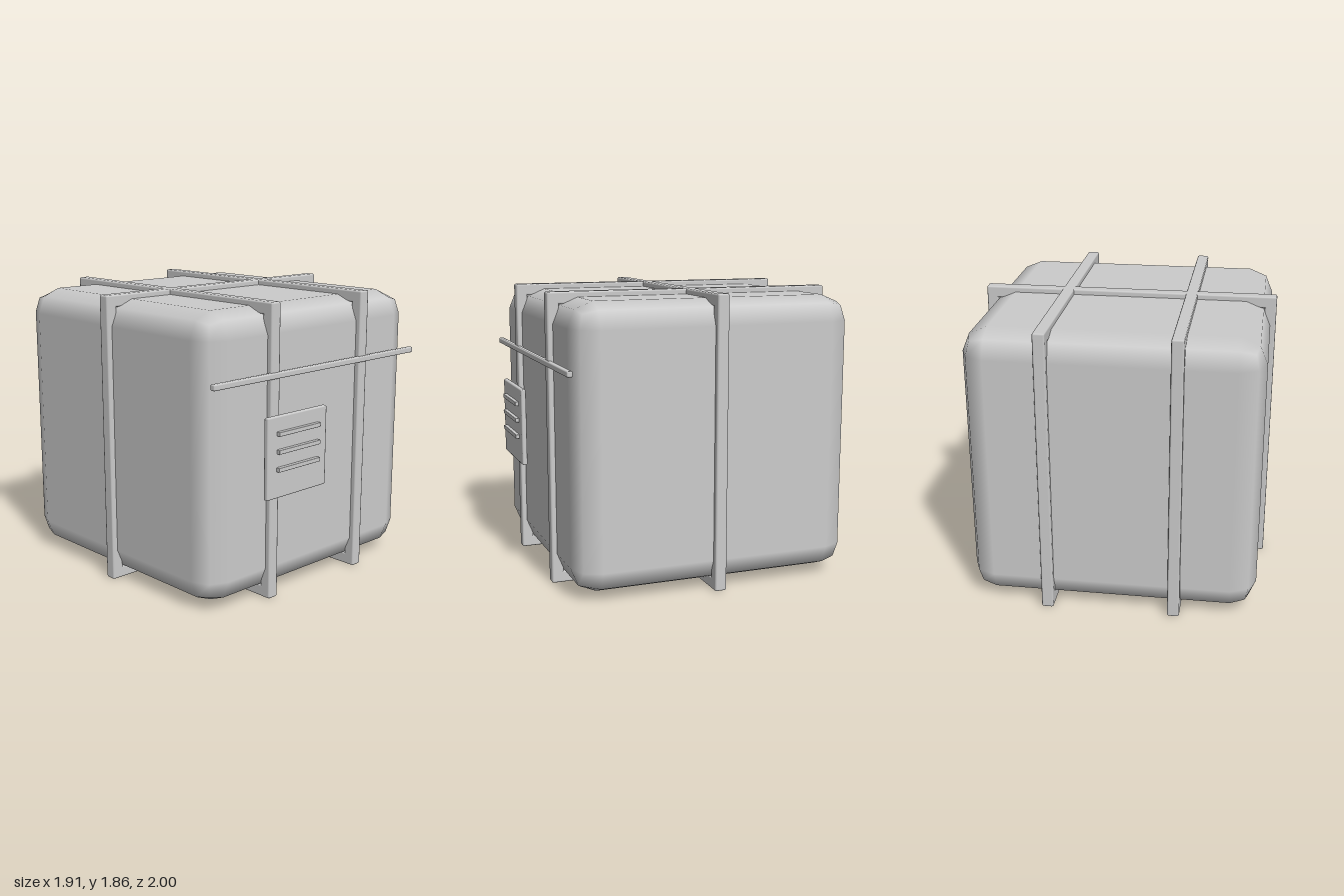
import * as THREE from 'three';
import { RoundedBoxGeometry } from 'three/addons/geometries/RoundedBoxGeometry.js';

export function createModel() {
  const group = new THREE.Group();
  const grey = new THREE.MeshStandardMaterial({ color: 0xcccccc });
  grey.name = 'light grey';

  const CY = 0.93; // centre height of the crate
  const CZ = -0.046; // centre depth of the crate

  function box(name, w, h, d, x, y, z, radius, parent = group) {
    const mesh = new THREE.Mesh(new RoundedBoxGeometry(w, h, d, 1, radius), grey);
    mesh.name = name;
    mesh.position.set(x, y, z);
    parent.add(mesh);
    return mesh;
  }

  // Soft-edged body
  box('body', 1.84, 1.79, 1.84, 0, CY, CZ, 0.16);

  // Strap loops: four square bars around the body
  const T = 0.077;
  const H = 1.86;
  const R = 0.012;
  function strap(name, span) {
    const loop = new THREE.Group();
    loop.name = name;
    for (const s of [-1, 1]) {
      box('strapSide', T, H, T, 0, 0, s * (span - T) / 2, R, loop);
      box('strapCap', T, T, span, 0, s * (H - T) / 2, 0, R, loop);
    }
    loop.position.set(0, CY, CZ);
    group.add(loop);
    return loop;
  }
  strap('rightStrap', 1.908).position.x = -0.406;
  strap('leftStrap', 1.908).position.x = 0.406;
  strap('crossStrap', 1.91).rotation.y = Math.PI / 2;

  // Thin rail across the front
  box('frontRail', 1.84, 0.038, 0.037, 0, 1.42, 0.903, 0.009);

  // Front label plate with three raised slats
  box('plate', 0.525, 0.512, 0.034, -0.277, 0.935, 0.959, 0.01);
  for (let i = 0; i < 3; i++) {
    box('slat', 0.367, 0.028, 0.034, -0.278, 1.084 - i * 0.111, 0.983, 0.004);
  }

  return group;
}
